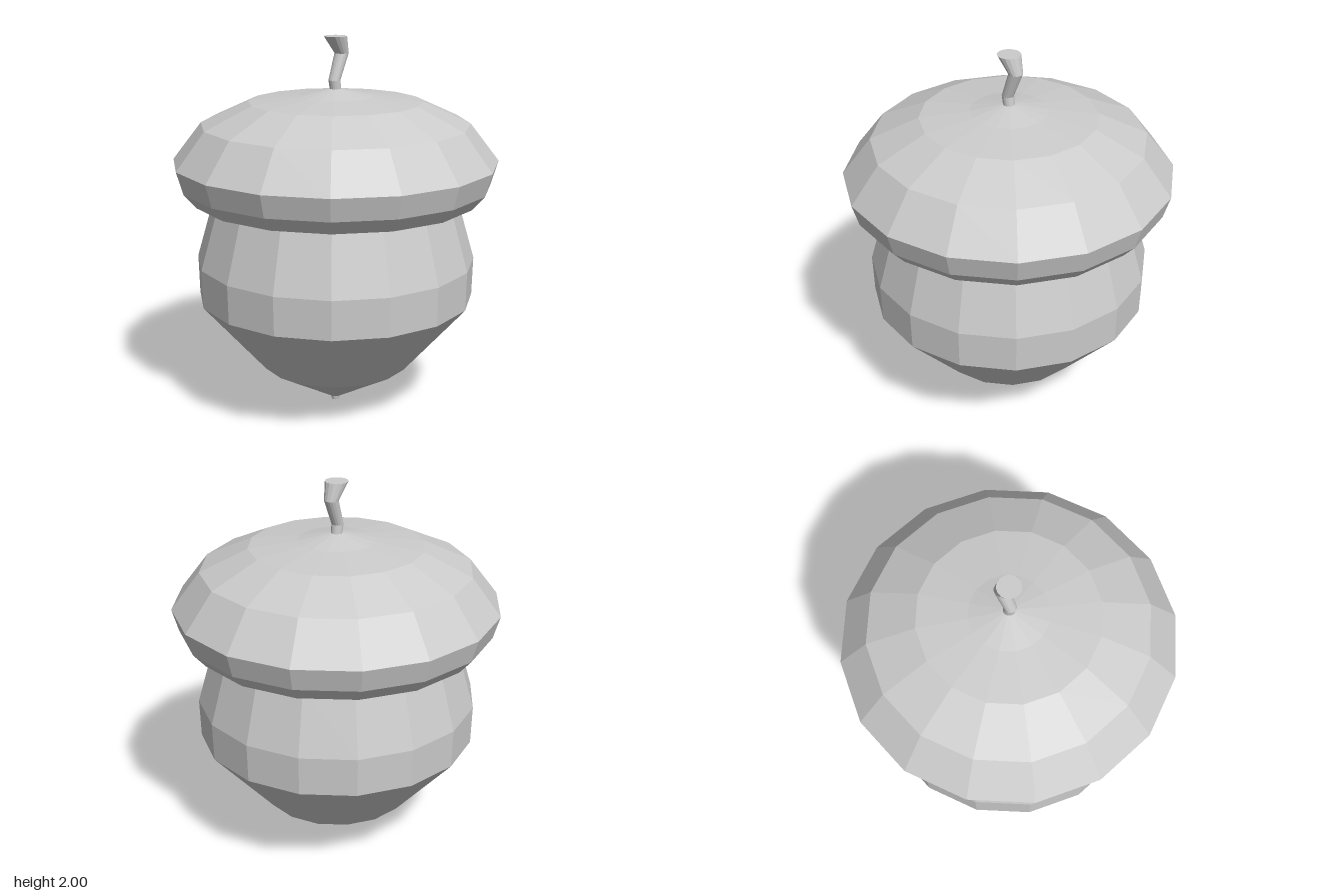
import * as THREE from 'three';

const SIDES = 16;

// Faceted turned part from [radius, y] points, listed bottom to top
function turned(name, profile) {
  const points = profile.map(([r, y]) => new THREE.Vector2(r, y));
  const material = new THREE.MeshStandardMaterial({ color: 0xcccccc, flatShading: true });
  const mesh = new THREE.Mesh(new THREE.LatheGeometry(points, SIDES), material);
  mesh.name = name;
  return mesh;
}

export function createModel() {
  const group = new THREE.Group();
  group.name = 'acorn';

  // Nut with a small blunt tip, tapering up into the cap
  const nut = turned('nut', [
    [0, 0], [0.02, 0], [0.024, 0.02], [0.4, 0.235],
    [0.735, 0.62], [0.74, 0.825], [0.643, 1.16], [0.62, 1.24],
  ]);

  // Cap with a flat underside and a domed, slightly peaked top
  const cap = turned('cap', [
    [0.6, 1.16], [0.755, 1.16], [0.82, 1.235], [0.855, 1.355],
    [0.705, 1.55], [0.455, 1.665], [0.2, 1.695], [0.03, 1.73], [0, 1.73],
  ]);

  // Crooked stem: each ring of the turned shape is shifted along z
  const rings = [
    [0.03, 1.70, 0], [0.03, 1.73, 0], [0.031, 1.775, 0.007],
    [0.037, 1.91, -0.044], [0.06, 2, 0], [0, 2, 0],
  ];
  const stem = turned('stem', rings);
  const pos = stem.geometry.attributes.position;
  for (let i = 0; i < pos.count; i++) {
    pos.setZ(i, pos.getZ(i) + rings[i % rings.length][2]);
  }
  stem.geometry.computeVertexNormals();

  group.add(nut, cap, stem);
  return group;
}
